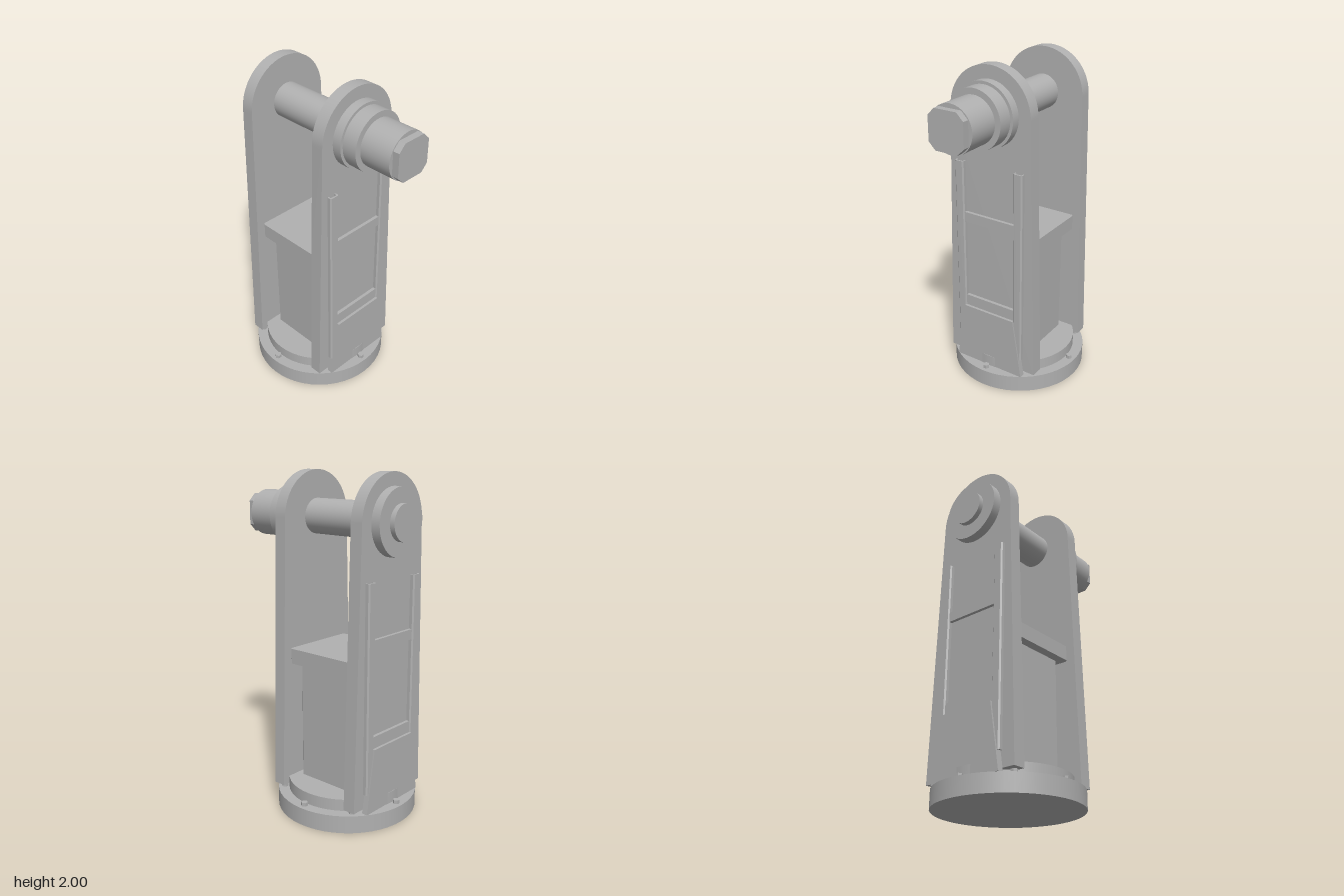
import * as THREE from 'three';
import { toCreasedNormals } from 'three/addons/utils/BufferGeometryUtils.js';

const CZ = -0.135;   // centre of the base along z
const PIN_Y = 1.735; // height of the pin axis

export function createModel() {
  const model = new THREE.Group();
  model.name = 'clevisBracket';
  const steel = new THREE.MeshStandardMaterial({ color: 0xb0b0b0 });
  steel.name = 'grey steel';

  const add = (parent, name, geometry, x = 0, y = 0, z = 0) => {
    const mesh = new THREE.Mesh(geometry, steel);
    mesh.name = name;
    mesh.position.set(x, y, z);
    parent.add(mesh);
    return mesh;
  };
  const polygon = (points) => new THREE.Shape(points.map(([x, y]) => new THREE.Vector2(x, y)));
  const extrude = (shape, depth) => toCreasedNormals(
    new THREE.ExtrudeGeometry(shape, { depth, bevelEnabled: false, curveSegments: 32 }), 0.5);
  // Rectangle with cut corners
  const cutRect = (w, h, c) => polygon([
    [w - c, -h], [w, -h + c], [w, h - c], [w - c, h],
    [-w + c, h], [-w, h - c], [-w, -h + c], [-w + c, -h]]);
  const upright = (shape, height) => extrude(shape, height).rotateX(-Math.PI / 2);
  const disc = (name, r, y0, y1, segments = 48) =>
    add(model, name, new THREE.CylinderGeometry(r, r, y1 - y0, segments), 0, (y0 + y1) / 2, CZ);
  const round = (name, r, z0, z1) =>
    add(model, name, new THREE.CylinderGeometry(r, r, z1 - z0, 48).rotateX(Math.PI / 2), 0, PIN_Y, (z0 + z1) / 2);

  // Round base with a raised step and a ring of hex bolts
  disc('base', 0.42, 0, 0.105);
  disc('baseStep', 0.355, 0.105, 0.175);
  for (let i = 0; i < 8; i++) {
    const a = i * Math.PI / 4;
    const bolt = add(model, 'bolt', toCreasedNormals(new THREE.CylinderGeometry(0.02, 0.02, 0.022, 6), 0.5),
      0.38 * Math.cos(a), 0.116, CZ + 0.38 * Math.sin(a));
    bolt.rotation.y = Math.PI / 6;
  }

  // Central column with its cap
  add(model, 'column', upright(cutRect(0.185, 0.239, 0.046), 0.715), 0, 0.175, CZ);
  add(model, 'columnCap', upright(cutRect(0.24, 0.239, 0.012), 0.09), 0, 0.89, CZ);

  // Cheek: tapered plate with round top, rails, cross bars and foot plate
  const makeCheek = (name) => {
    const cheek = new THREE.Group();
    cheek.name = name;
    cheek.position.z = CZ;

    const plate = new THREE.Shape();
    plate.moveTo(-0.31, 0.13);
    plate.lineTo(0.31, 0.13);
    plate.lineTo(0.265, PIN_Y);
    plate.absarc(0, PIN_Y, 0.265, 0, Math.PI, false);
    plate.closePath();
    add(cheek, 'cheekPlate', extrude(plate, 0.076), 0, 0, 0.239);

    const face = 0.315;
    // Hollow channel rails, open towards the plate
    const channel = polygon([
      [-0.03, 0], [-0.03, -0.019], [-0.022, -0.027], [0.022, -0.027], [0.03, -0.019], [0.03, 0],
      [0.021, 0], [0.021, -0.017], [-0.021, -0.017], [-0.021, 0]]);
    for (const s of [-1, 1]) add(cheek, 'rail', upright(channel, 1.21), s * 0.2, 0.22, face);

    for (const [y0, y1] of [[0.475, 0.555], [1.055, 1.115]])
      add(cheek, 'crossBar', new THREE.BoxGeometry(0.35, y1 - y0, 0.02), 0, (y0 + y1) / 2, face + 0.01);

    const foot = polygon([[-0.237, 0.107], [0.237, 0.107], [0.175, 0.485], [-0.175, 0.485]]);
    add(cheek, 'footPlate', extrude(foot, 0.0365), 0, 0, face);
    model.add(cheek);
    return cheek;
  };
  makeCheek('frontCheek');
  makeCheek('backCheek').rotation.y = Math.PI;

  // Pin with stepped collars in front and a washer behind
  round('pin', 0.103, -0.535, 0.2);
  round('backWasher', 0.19, -0.505, -0.45);
  round('frontWasher', 0.19, 0.18, 0.235);
  round('collar', 0.173, 0.235, 0.325);
  round('sleeve', 0.138, 0.325, 0.52);
  add(model, 'pinHead', extrude(cutRect(0.113, 0.113, 0.042), 0.04), 0, PIN_Y, 0.52);

  return model;
}
